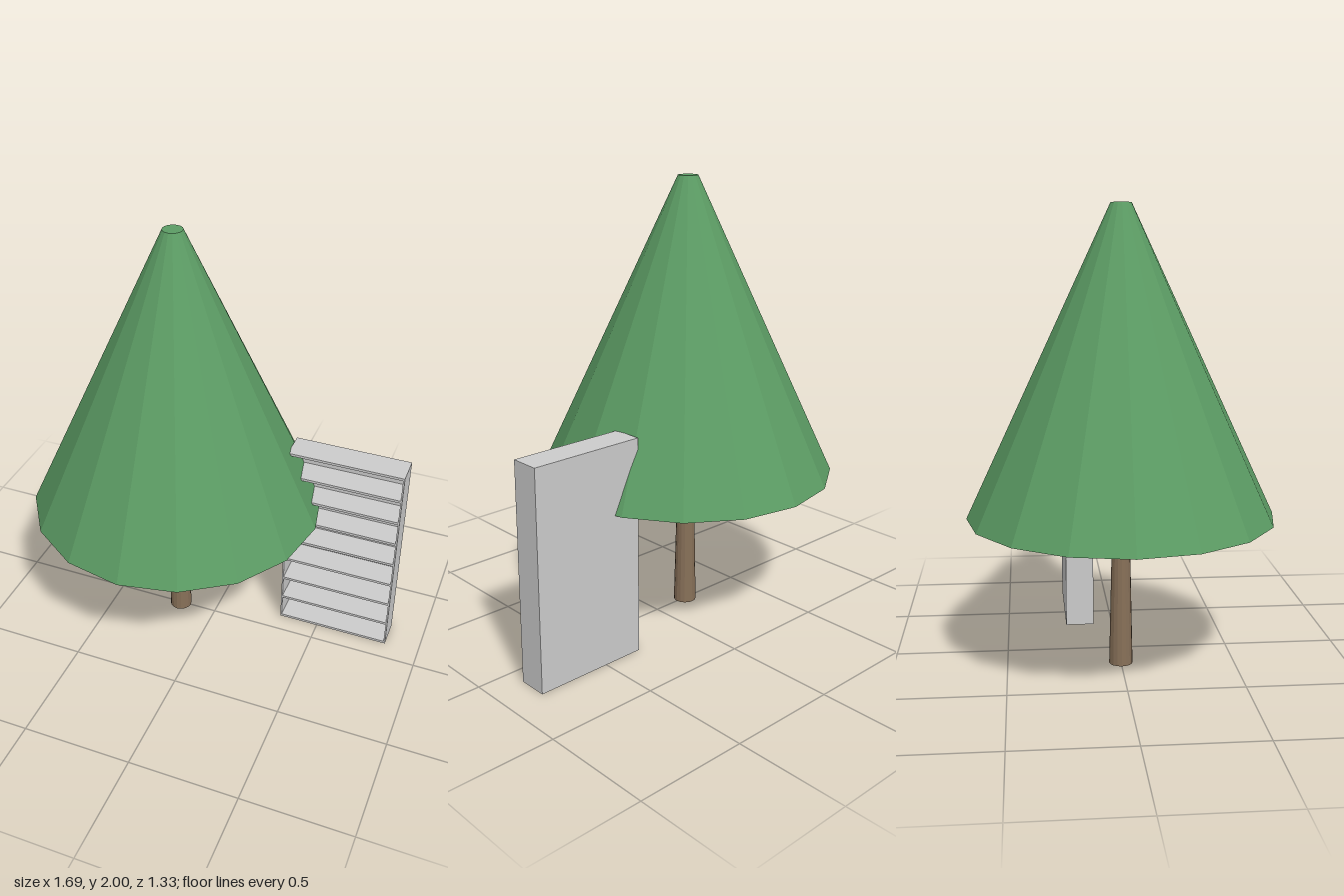
import * as THREE from 'three';

const mat = (name, color, flatShading = false) => {
  const m = new THREE.MeshStandardMaterial({ color, flatShading });
  m.name = name;
  return m;
};

export function createModel() {
  const model = new THREE.Group();
  model.name = 'treeAndShelf';
  const leafGreen = mat('leafGreen', 0x5c9c64, true);
  const barkBrown = mat('barkBrown', 0x877058, true);
  const shelfGrey = mat('shelfGrey', 0xcccccc);

  const add = (parent, name, geometry, material, x, y, z) => {
    const mesh = new THREE.Mesh(geometry, material);
    mesh.name = name;
    mesh.position.set(x, y, z);
    parent.add(mesh);
  };

  // Tree: tapered trunk below a truncated cone of foliage
  const tree = new THREE.Group();
  tree.name = 'tree';
  tree.position.x = -0.18;
  model.add(tree);
  add(tree, 'trunk', new THREE.CylinderGeometry(0.037, 0.052, 0.68, 16), barkBrown, 0, 0.34, 0);
  add(tree, 'foliage', new THREE.CylinderGeometry(0.044, 0.665, 1.33, 16), leafGreen, 0, 1.335, 0);

  // Bookcase: back panel, two sides and nine evenly spaced boards
  const width = 0.528, height = 0.98, depth = 0.132;
  const side = 0.007, board = 0.012, back = 0.008, count = 9;
  const shelf = new THREE.Group();
  shelf.name = 'bookcase';
  shelf.position.set(0.577, 0, -0.156);
  model.add(shelf);

  add(shelf, 'backPanel', new THREE.BoxGeometry(width, height, back), shelfGrey,
    0, height / 2, -(depth - back) / 2);
  for (const s of [-1, 1]) {
    add(shelf, s > 0 ? 'leftSide' : 'rightSide', new THREE.BoxGeometry(side, height, depth - back),
      shelfGrey, s * (width - side) / 2, height / 2, back / 2);
  }
  for (let i = 0; i < count; i++) {
    const y = board / 2 + i * (height - board) / (count - 1);
    add(shelf, 'board' + (i + 1), new THREE.BoxGeometry(width - 2 * side, board, depth - back),
      shelfGrey, 0, y, back / 2);
  }
  return model;
}
